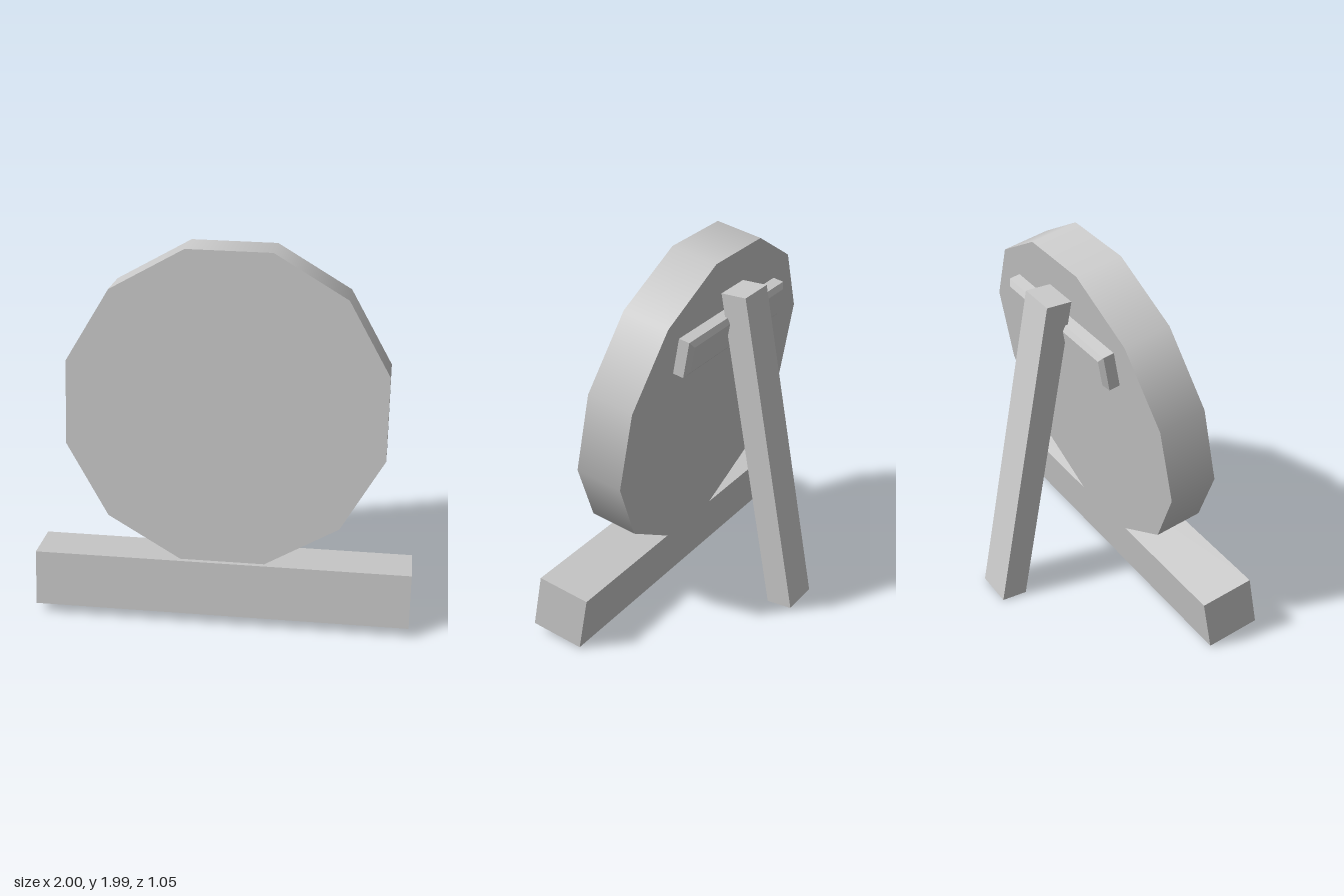
import * as THREE from 'three';

const material = new THREE.MeshStandardMaterial({ color: 0xcccccc });

function addPart(parent, name, geometry, x, y, z) {
  const mesh = new THREE.Mesh(geometry, material);
  mesh.name = name;
  mesh.position.set(x, y, z);
  parent.add(mesh);
  return mesh;
}

// Box whose back (-z) face is chamfered on all four edges
function chamferedBox(w, h, d, inset, depth) {
  const g = new THREE.BoxGeometry(w, h, d, 1, 1, 2).toNonIndexed();
  const p = g.attributes.position;
  for (let i = 0; i < p.count; i++) {
    const z = p.getZ(i);
    if (Math.abs(z) < 1e-6) {
      p.setZ(i, -d / 2 + depth);
    } else if (z < 0) {
      p.setX(i, p.getX(i) - Math.sign(p.getX(i)) * inset);
      p.setY(i, p.getY(i) - Math.sign(p.getY(i)) * inset);
    }
  }
  g.computeVertexNormals();
  return g;
}

export function createModel() {
  const model = new THREE.Group();
  model.name = 'discOnStand';

  // Leaning assembly, pivoted where the back of the disc meets the base bar
  const leaning = new THREE.Group();
  leaning.name = 'leaningAssembly';
  leaning.position.set(0, 0.3, 0.185);
  leaning.rotation.x = -THREE.MathUtils.degToRad(10.8);
  model.add(leaning);

  addPart(leaning, 'baseBar', new THREE.BoxGeometry(2, 0.3, 0.29), 0, -0.15, 0.145);

  // Twelve-sided disc resting on one flat side
  const apothem = 0.835;
  const radius = apothem / Math.cos(Math.PI / 12);
  const disc = new THREE.CylinderGeometry(radius, radius, 0.26, 12);
  disc.rotateY(Math.PI / 12);
  disc.rotateX(Math.PI / 2);
  addPart(leaning, 'disc', disc, 0, apothem, 0.13);

  // Cross batten on the back of the disc
  addPart(leaning, 'backBatten', chamferedBox(0.97, 0.2, 0.08, 0.028, 0.02), 0, 1.248, -0.04);

  // Rear prop leg, sheared so both ends stay level
  const leg = new THREE.BoxGeometry(0.22, 1.74, 0.14);
  leg.applyMatrix4(new THREE.Matrix4().makeShear(0, 0, 0, 0.1695, 0, 0));
  addPart(model, 'rearLeg', leg, 0, 0.87, -0.3075);

  return model;
}
